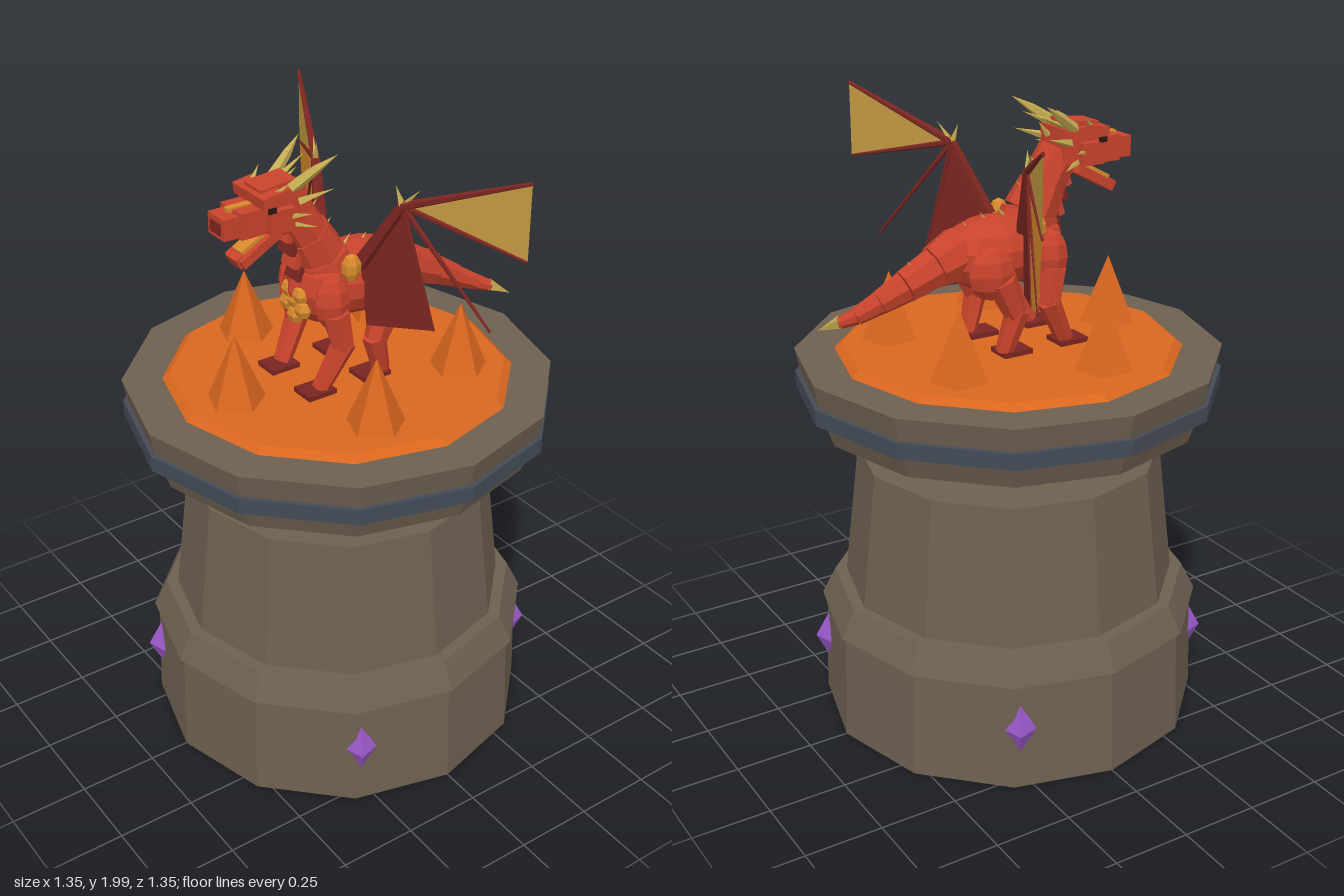
import * as THREE from 'three';

const mat = (name, color, extra = {}) => Object.assign(
  new THREE.MeshStandardMaterial({ color, flatShading: true, ...extra }), { name });
const two = { side: THREE.DoubleSide };

export function createModel() {
  const root = new THREE.Group();
  root.name = 'dragonTower';
  const stone = mat('stone', 0x6e6050), iron = mat('iron', 0x444b56), lava = mat('lava', 0xd9661f),
    red = mat('red scales', 0xc8432c), dark = mat('dark red', 0x7a2520, two), gold = mat('gold membrane', 0xc39a42, two),
    amber = mat('amber', 0xd98a2c, two), horn = mat('horn', 0xc2aa50), purple = mat('crystal', 0x9858c8),
    black = mat('eye', 0x2a1512);
  const V = (x, y, z) => new THREE.Vector3(x, y, z);
  const add = (name, geo, m, parent = root) => {
    const mesh = new THREE.Mesh(geo, m);
    mesh.name = name;
    parent.add(mesh);
    return mesh;
  };
  // Tapered bar between two points
  const bar = (name, a, b, ra, rb, m, parent, sides = 6) => {
    const d = V(...b).sub(V(...a)), len = d.length();
    const mesh = add(name, new THREE.CylinderGeometry(rb, ra, len, sides), m, parent);
    mesh.position.set(...a).addScaledVector(d, 0.5);
    mesh.quaternion.setFromUnitVectors(V(0, 1, 0), d.normalize());
    return mesh;
  };
  const box = (name, size, pos, m, parent, rx = 0) => {
    const mesh = add(name, new THREE.BoxGeometry(...size), m, parent);
    mesh.position.set(...pos);
    mesh.rotation.x = rx;
    return mesh;
  };
  const blob = (name, pos, r, m, parent, w = 8, h = 6) => {
    const mesh = add(name, new THREE.SphereGeometry(1, w, h), m, parent);
    mesh.position.set(...pos);
    mesh.scale.set(...r);
    return mesh;
  };

  // Tower tiers: bottom y, top y, bottom radius, top radius
  const tower = new THREE.Group();
  tower.name = 'tower';
  root.add(tower);
  [['base', 0, 0.36, 0.62, 0.607, stone], ['band', 0.355, 0.445, 0.622, 0.577, stone],
    ['shaft', 0.44, 0.89, 0.54, 0.487, stone], ['flare', 0.888, 1.02, 0.32, 0.615, stone],
    ['upperWall', 1.02, 1.105, 0.615, 0.645, stone], ['ironRing', 1.1, 1.15, 0.675, 0.675, iron],
    ['rim', 1.15, 1.225, 0.66, 0.675, stone], ['lavaPool', 1.22, 1.245, 0.555, 0.525, lava],
  ].forEach(([name, y0, y1, r0, r1, m]) => {
    add(name, new THREE.CylinderGeometry(r1, r0, y1 - y0, 12), m, tower).position.y = (y0 + y1) / 2;
  });

  // Lava spikes in a ring
  for (let i = 0; i < 5; i++) {
    const a = i * Math.PI * 2 / 5;
    const c = add('lavaSpike', new THREE.ConeGeometry(0.095, 0.225, 5), lava, tower);
    c.position.set(Math.sin(a) * 0.375, 1.35, Math.cos(a) * 0.375);
    c.rotation.y = Math.PI / 2;
  }
  // Crystals set into the base
  for (let i = 0; i < 4; i++) {
    const a = -0.494 + i * Math.PI / 2;
    const c = add('crystal', new THREE.OctahedronGeometry(1), purple, tower);
    c.scale.set(0.05, 0.095, 0.05);
    c.position.set(Math.sin(a) * 0.6, 0.2, Math.cos(a) * 0.6);
    c.rotation.y = a;
  }

  const dragon = new THREE.Group();
  dragon.name = 'dragon';
  root.add(dragon);

  // Body
  blob('torso', [0, 1.545, -0.06], [0.125, 0.115, 0.19], red, dragon, 10, 7);
  blob('chest', [0, 1.55, 0.07], [0.12, 0.12, 0.11], red, dragon, 8, 6);
  for (const [x, y] of [[0, 1.47], [-0.04, 1.5], [0.04, 1.5], [0, 1.52], [-0.03, 1.545], [0.03, 1.545]])
    blob('chestScale', [x, y, 0.155], [0.032, 0.03, 0.027], amber, dragon, 6, 4);

  // Segmented neck and tail
  const chain = (name, pts) => pts.slice(1).forEach((p, i) => {
    const q = pts[i];
    bar(name, q.slice(0, 3), p.slice(0, 3), q[3], p[3] * 1.06, red, dragon, 8);
  });
  chain('neckSegment', [[0, 1.57, 0.05, 0.108], [0, 1.65, 0.075, 0.085], [0, 1.73, 0.12, 0.07], [0, 1.83, 0.18, 0.062]]);
  chain('tailSegment', [[0, 1.56, -0.17, 0.085], [0, 1.525, -0.26, 0.065], [0.005, 1.48, -0.36, 0.05],
    [0.018, 1.44, -0.44, 0.036], [0.035, 1.405, -0.51, 0.026], [0.058, 1.385, -0.56, 0.017]]);
  bar('tailTip', [0.055, 1.39, -0.555], [0.095, 1.36, -0.61], 0.022, 0, horn, dragon, 4);
  for (let i = 0; i < 4; i++)
    box('throatPlate', [0.07, 0.045, 0.02], [0, 1.61 + i * 0.045, 0.155 + i * 0.012], i % 2 ? red : dark, dragon, -0.3);

  // Back spines
  for (const [y, z] of [[1.9, 0.13], [1.8, 0.1], [1.73, 0.05], [1.66, -0.02], [1.65, -0.08], [1.63, -0.14], [1.59, -0.23], [1.535, -0.33]])
    bar('backSpine', [0, y - 0.02, z + 0.01], [0, y + 0.025, z - 0.025], 0.01, 0, horn, dragon, 4);

  // Head
  const head = new THREE.Group();
  head.name = 'head';
  dragon.add(head);
  box('skull', [0.13, 0.11, 0.13], [0, 1.85, 0.22], red, head);
  box('brow', [0.165, 0.035, 0.07], [0, 1.89, 0.275], red, head, 0.15);
  box('crown', [0.09, 0.03, 0.12], [0, 1.905, 0.235], red, head, 0.1);
  box('snout', [0.11, 0.08, 0.1], [0, 1.825, 0.32], red, head);
  box('nose', [0.085, 0.065, 0.07], [0, 1.822, 0.385], red, head);
  box('muzzlePlate', [0.055, 0.035, 0.006], [0, 1.82, 0.421], dark, head);
  box('noseRidge', [0.022, 0.012, 0.09], [0, 1.864, 0.34], amber, head);
  box('mouthRoof', [0.075, 0.006, 0.12], [0, 1.786, 0.33], dark, head);
  box('lowerJaw', [0.085, 0.03, 0.15], [0, 1.735, 0.295], red, head, 0.5);
  box('tongue', [0.05, 0.012, 0.12], [0, 1.757, 0.3], amber, head, 0.5);
  box('chin', [0.06, 0.035, 0.03], [0, 1.705, 0.355], red, head, 0.5);

  // Horns, cheeks and eyes, mirrored
  for (const s of [-1, 1]) {
    box('cheek', [0.025, 0.07, 0.08], [s * 0.075, 1.825, 0.25], red, head);
    box('eye', [0.008, 0.016, 0.025], [s * 0.085, 1.865, 0.285], black, head);
    bar('mainHorn', [s * 0.05, 1.9, 0.2], [s * 0.075, 1.95, 0.13], 0.02, 0.014, horn, head, 5);
    bar('mainHornTip', [s * 0.075, 1.95, 0.13], [s * 0.1, 1.99, 0.07], 0.014, 0, horn, head, 5);
    bar('innerHorn', [s * 0.035, 1.9, 0.19], [s * 0.055, 1.95, 0.08], 0.013, 0, horn, head, 4);
    bar('sideHorn', [s * 0.06, 1.86, 0.18], [s * 0.1, 1.89, 0.08], 0.015, 0, horn, head, 4);
    bar('cheekSpike', [s * 0.07, 1.83, 0.23], [s * 0.12, 1.84, 0.17], 0.012, 0, horn, head, 4);
    bar('jawSpike', [s * 0.06, 1.8, 0.21], [s * 0.1, 1.785, 0.14], 0.011, 0, horn, head, 4);
    bar('browSpike', [s * 0.06, 1.9, 0.26], [s * 0.085, 1.935, 0.22], 0.01, 0, horn, head, 4);
  }

  // Legs, mirrored, front and rear
  for (const s of [-1, 1]) {
    blob('shoulder', [s * 0.095, 1.53, 0.09], [0.05, 0.085, 0.06], red, dragon);
    bar('frontUpperLeg', [s * 0.115, 1.5, 0.09], [s * 0.125, 1.385, 0.07], 0.045, 0.036, red, dragon);
    bar('frontLowerLeg', [s * 0.125, 1.4, 0.065], [s * 0.105, 1.255, 0.14], 0.038, 0.028, red, dragon);
    blob('thigh', [s * 0.1, 1.51, -0.12], [0.055, 0.085, 0.08], red, dragon);
    bar('rearUpperLeg', [s * 0.12, 1.49, -0.1], [s * 0.125, 1.375, -0.05], 0.05, 0.036, red, dragon);
    bar('rearLowerLeg', [s * 0.125, 1.39, -0.045], [s * 0.11, 1.255, -0.085], 0.038, 0.028, red, dragon);
    for (const z of [0.155, -0.05]) box('foot', [0.085, 0.018, 0.1], [s * 0.1, 1.251, z], dark, dragon);
    blob('shoulderPlate', [s * 0.11, 1.63, 0.03], [0.028, 0.045, 0.032], amber, dragon, 6, 5);
  }

  // Wings: flat panels spread from the wrist, each lying on a swept-back plane
  for (const s of [-1, 1]) {
    const wing = new THREE.Group();
    wing.name = s > 0 ? 'leftWing' : 'rightWing';
    dragon.add(wing);
    const W = (x, y) => [s * x, y, 0.04 - 0.5 * x];
    const root0 = W(0.1, 1.63), wrist = W(0.22, 1.84), tipA = W(0.57, 1.985), tipB = W(0.57, 1.75),
      tipC = W(0.48, 1.505), tipD = W(0.32, 1.465), hip = W(0.12, 1.43);
    const panel = (name, m, ...pts) => {
      const tris = [];
      for (let i = 1; i < pts.length - 1; i++) tris.push(...pts[0], ...pts[i], ...pts[i + 1]);
      const g = new THREE.BufferGeometry();
      g.setAttribute('position', new THREE.Float32BufferAttribute(tris, 3));
      g.computeVertexNormals();
      add(name, g, m, wing);
    };
    panel('outerMembrane', gold, wrist, tipA, tipB);
    // Only the right wing keeps its middle membrane
    if (s < 0) panel('middleMembrane', amber, wrist, tipB, tipC, tipD);
    panel('innerMembrane', dark, wrist, tipD, hip, root0);
    bar('wingArm', root0, wrist, 0.024, 0.016, dark, wing);
    bar('wingFinger', wrist, tipA, 0.014, 0.006, dark, wing);
    bar('wingFinger', wrist, tipB, 0.01, 0.004, dark, wing);
    bar('wingFinger', wrist, tipC, 0.01, 0.004, dark, wing);
    bar('wingFinger', wrist, tipD, 0.009, 0.004, dark, wing);
    bar('wingClaw', wrist, W(0.2, 1.9), 0.013, 0, horn, wing, 4);
    bar('wingClaw', wrist, W(0.27, 1.9), 0.01, 0, horn, wing, 4);
  }
  return root;
}
